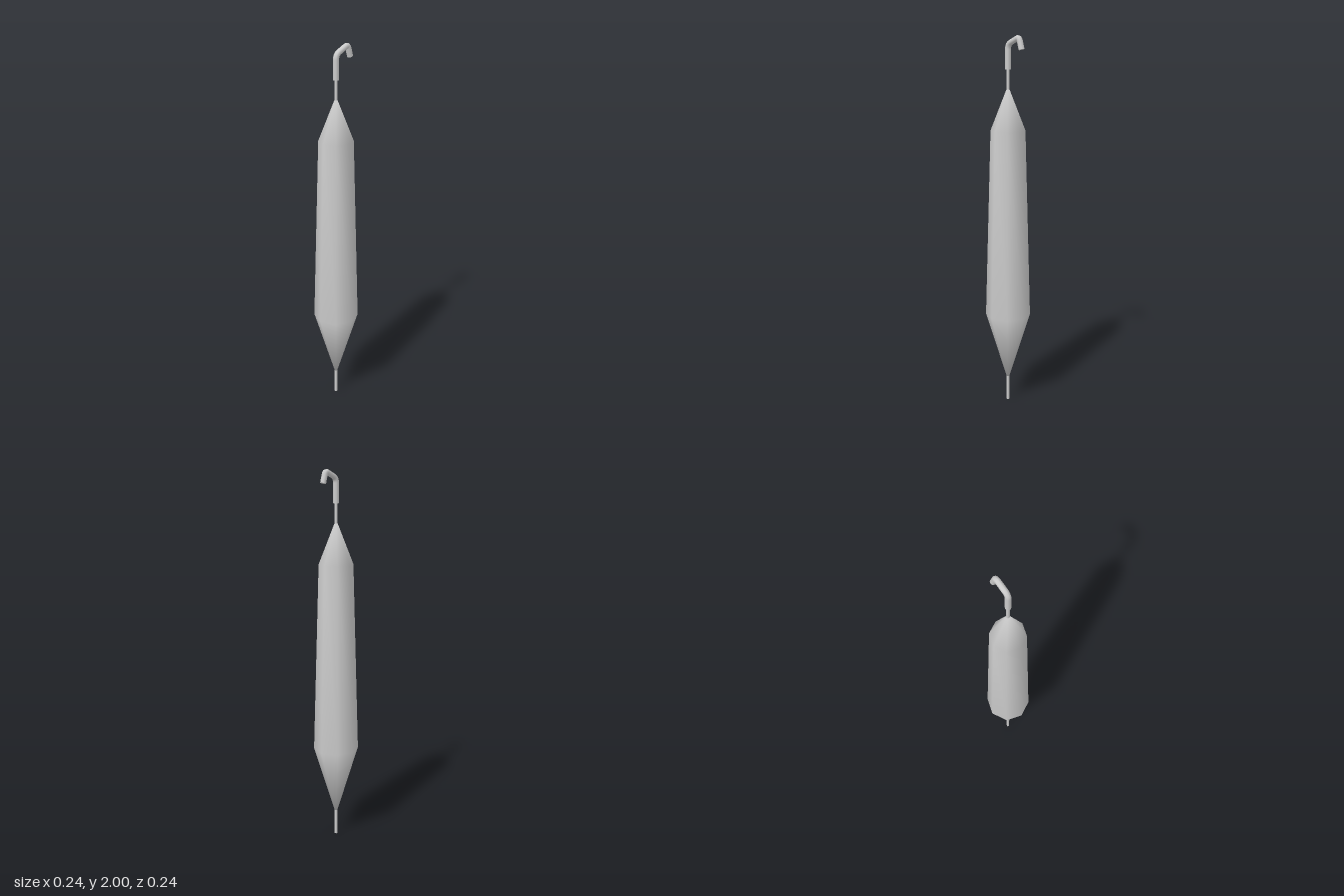
import * as THREE from 'three';
import { mergeVertices } from 'three/addons/utils/BufferGeometryUtils.js';

export function createModel() {
  const model = new THREE.Group();
  const metal = new THREE.MeshStandardMaterial({ color: 0xcccccc });
  metal.name = 'light grey';

  const add = (name, geometry, parent = model) => {
    const mesh = new THREE.Mesh(geometry, metal);
    mesh.name = name;
    parent.add(mesh);
    return mesh;
  };

  // Eight-sided tapered body, shaded smoothly from tip to tip
  const profile = [[0, 0.115], [0.12, 0.51], [0.09, 1.515], [0, 1.745]]
    .map(([r, y]) => new THREE.Vector2(r, y));
  let body = new THREE.LatheGeometry(profile, 8);
  body.deleteAttribute('uv');
  body.deleteAttribute('normal');
  body = mergeVertices(body);
  body.computeVertexNormals();
  add('body', body);

  // Thin stems at both ends
  const addStem = (name, bottom, top) => {
    const stem = new THREE.CylinderGeometry(0.008, 0.008, top - bottom, 8);
    add(name, stem).position.y = (bottom + top) / 2;
  };
  addStem('lowerStem', 0, 0.16);
  addStem('upperStem', 1.7, 1.84);

  // Bent hook: straight runs joined by short rounded corners
  const hook = new THREE.Group();
  hook.name = 'hook';
  model.add(hook);
  const v = (x, y) => new THREE.Vector3(x, y, 0);
  const path = new THREE.CurvePath();
  path.add(new THREE.LineCurve3(v(0, 1.825), v(0, 1.925)));
  path.add(new THREE.QuadraticBezierCurve3(v(0, 1.925), v(0, 1.95), v(0.022, 1.96)));
  path.add(new THREE.LineCurve3(v(0.022, 1.96), v(0.066, 1.98)));
  path.add(new THREE.QuadraticBezierCurve3(v(0.066, 1.98), v(0.08, 1.987), v(0.085, 1.97)));
  path.add(new THREE.LineCurve3(v(0.085, 1.97), v(0.098, 1.927)));
  const radius = 0.015;
  add('hookWire', new THREE.TubeGeometry(path, 32, radius, 8), hook);

  // Closed wire ends
  for (const [name, t, sign] of [['hookBaseCap', 0, -1], ['hookTipCap', 1, 1]]) {
    const cap = add(name, new THREE.CircleGeometry(radius, 8), hook);
    const point = path.getPointAt(t);
    cap.position.copy(point);
    cap.lookAt(point.clone().addScaledVector(path.getTangentAt(t), sign));
  }

  return model;
}
